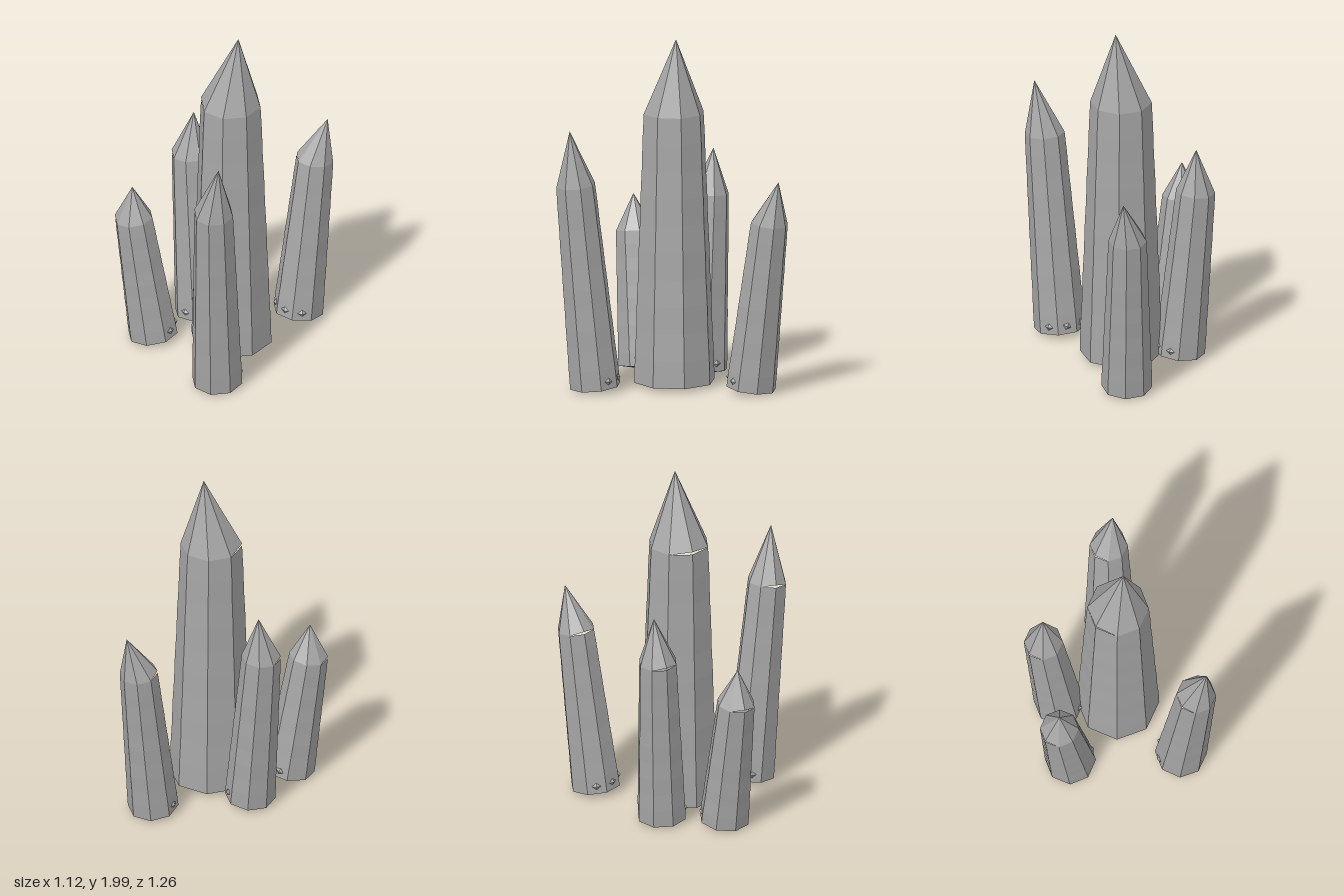
import * as THREE from 'three';

const SIDES = 8;
const RINGS = 10;

// Octagonal ring of points around a centre, square to the crystal's axis
function ring(centre, radius, tilt) {
  return Array.from({ length: SIDES }, (_, i) => {
    const a = (i / SIDES) * Math.PI * 2;
    return new THREE.Vector3(Math.cos(a) * radius, 0, Math.sin(a) * radius)
      .applyQuaternion(tilt).add(centre);
  });
}

// Skin a list of rings, from the underside upwards
function skin(rings) {
  const pos = [];
  for (let r = 0; r < rings.length - 1; r++) {
    const lo = rings[r], hi = rings[r + 1];
    for (let i = 0; i < SIDES; i++) {
      const j = (i + 1) % SIDES;
      for (const p of [lo[j], lo[i], hi[i], lo[j], hi[i], hi[j]]) pos.push(p.x, p.y, p.z);
    }
  }
  const geo = new THREE.BufferGeometry();
  geo.setAttribute('position', new THREE.Float32BufferAttribute(pos, 3));
  geo.computeVertexNormals();
  return geo;
}

function makeCrystal({ name, base, shoulder, tip, r0, r1, nubs }, material) {
  const group = new THREE.Group();
  group.name = name;
  const add = (geo, part) => {
    const mesh = new THREE.Mesh(geo, material);
    mesh.name = part;
    group.add(mesh);
    return mesh;
  };
  const b = new THREE.Vector3(...base);
  const s = new THREE.Vector3(...shoulder);
  const t = new THREE.Vector3(...tip);
  const axis = s.clone().sub(b).normalize();
  const tilt = new THREE.Quaternion().setFromUnitVectors(new THREE.Vector3(0, 1, 0), axis);
  const below = (d) => b.clone().addScaledVector(axis, -d);

  // Shaft: shallow rounded underside, then tapering with faint growth ridges
  const rings = [ring(below(0.01), 0, tilt), ring(below(0.016), r0 * 0.42, tilt)];
  for (let k = 0; k <= RINGS; k++) {
    const f = k / RINGS;
    const ripple = k % 2 ? 1.01 : 1;
    rings.push(ring(b.clone().lerp(s, f), THREE.MathUtils.lerp(r0, r1, f) * ripple, tilt));
  }
  add(skin(rings), 'shaft');

  // Point: cracked slightly open at its -x corner
  const rim = ring(s, r1, tilt);
  rim[SIDES / 2].addScaledVector(axis, 0.015);
  add(skin([rim, Array(SIDES).fill(t)]), 'point');

  // Small nubs near the foot, on the faces away from the lean
  if (nubs) {
    const lean = new THREE.Vector3(axis.x, 0, axis.z).normalize();
    const foot = b.clone().addScaledVector(axis, 0.045);
    for (let i = 0; i < SIDES; i++) {
      const a = ((i + 0.5) / SIDES) * Math.PI * 2;
      const out = new THREE.Vector3(Math.cos(a), 0, Math.sin(a));
      if (out.dot(lean) > -0.2) continue;
      out.applyQuaternion(tilt);
      const nub = add(new THREE.OctahedronGeometry(1), 'nub');
      nub.scale.set(0.026, 0.02, 0.014);
      nub.position.copy(foot).addScaledVector(out, r0 * Math.cos(Math.PI / SIDES));
      nub.quaternion.setFromUnitVectors(new THREE.Vector3(0, 0, 1), out);
    }
  }
  return group;
}

export function createModel() {
  const stone = new THREE.MeshStandardMaterial({ color: 0xa6a6a6 });
  stone.name = 'grey stone';
  stone.flatShading = true;

  const crystals = [
    { name: 'mainCrystal', base: [0.09, 0.026, -0.064], shoulder: [0.087, 1.57, -0.06], tip: [0.13, 2, -0.063], r0: 0.232, r1: 0.173 },
    { name: 'rightCrystal', base: [-0.346, 0.03, 0.009], shoulder: [-0.453, 0.785, 0.03], tip: [-0.46, 0.99, 0.037], r0: 0.143, r1: 0.109, nubs: true },
    { name: 'backRightCrystal', base: [-0.153, 0.03, -0.287], shoulder: [-0.221, 1.02, -0.345], tip: [-0.208, 1.285, -0.364], r0: 0.142, r1: 0.11, nubs: true },
    { name: 'frontCrystal', base: [0.131, 0.03, 0.405], shoulder: [0.141, 1.195, 0.521], tip: [0.18, 1.515, 0.565], r0: 0.145, r1: 0.112, nubs: true },
    { name: 'backLeftCrystal', base: [0.38, 0.03, -0.435], shoulder: [0.453, 0.985, -0.523], tip: [0.518, 1.235, -0.56], r0: 0.143, r1: 0.107, nubs: true },
  ];

  const model = new THREE.Group();
  model.name = 'crystalCluster';
  for (const c of crystals) model.add(makeCrystal(c, stone));
  return model;
}
